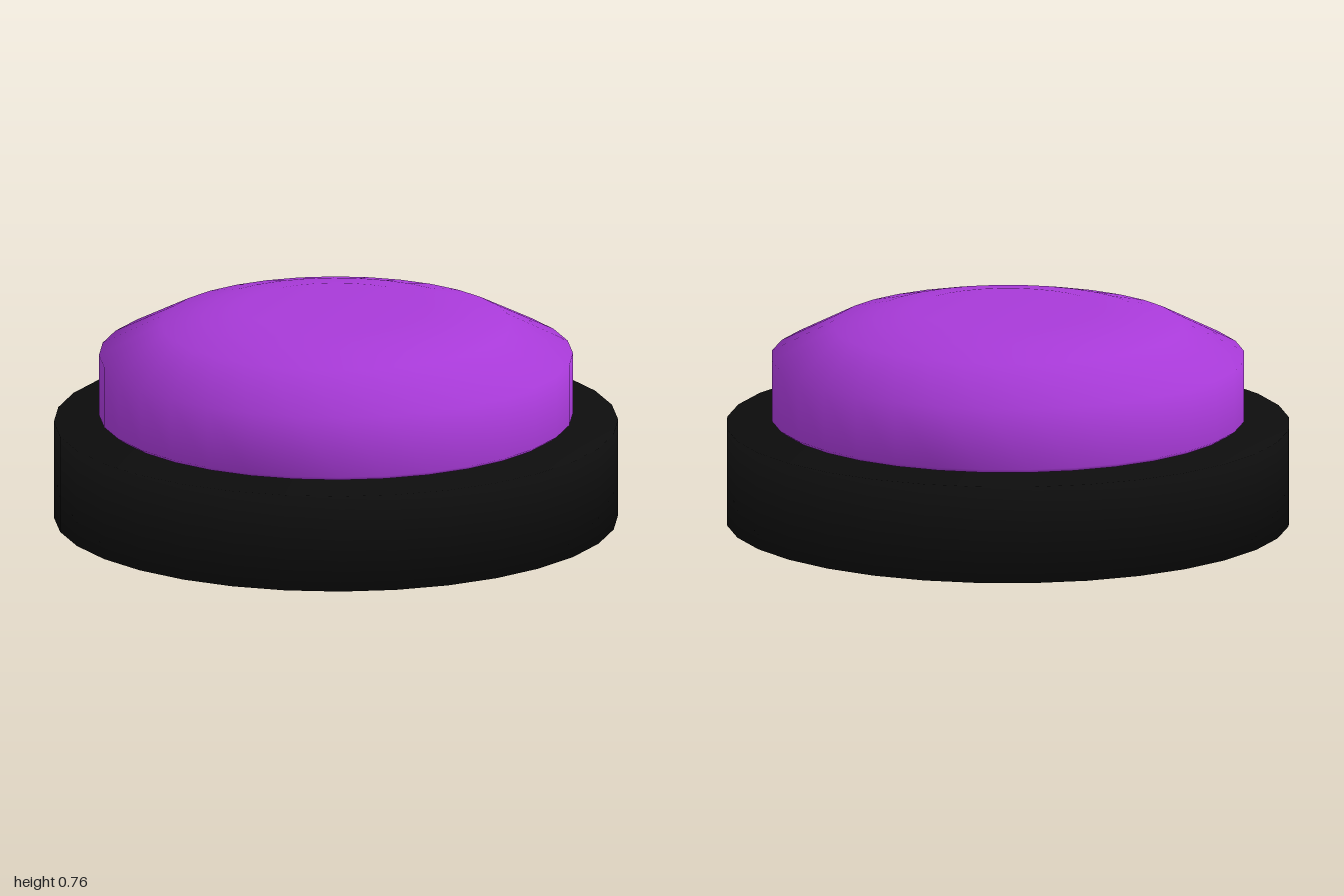
import * as THREE from 'three';

const SIDES = 32;

// Turned part from [radius, height] pairs, listed bottom to top
function turned(name, profile, color) {
  const points = profile.map(([r, y]) => new THREE.Vector2(r, y));
  const mesh = new THREE.Mesh(
    new THREE.LatheGeometry(points, SIDES),
    new THREE.MeshStandardMaterial({ color })
  );
  mesh.name = name;
  return mesh;
}

export function createModel() {
  const group = new THREE.Group();
  group.name = 'pushButton';

  // Flat round housing
  group.add(turned('base', [[0, 0], [1, 0], [1, 0.35], [0, 0.35]], 0x0d0d0d));

  // Domed cap with a small bevel at its foot and a flat crown
  group.add(turned('buttonCap', [
    [0, 0.352], [0.78, 0.352], [0.82, 0.36], [0.84, 0.375], [0.84, 0.595],
    [0.62, 0.708], [0.48, 0.742], [0.33, 0.765], [0, 0.765],
  ], 0xa83ad8));

  return group;
}
